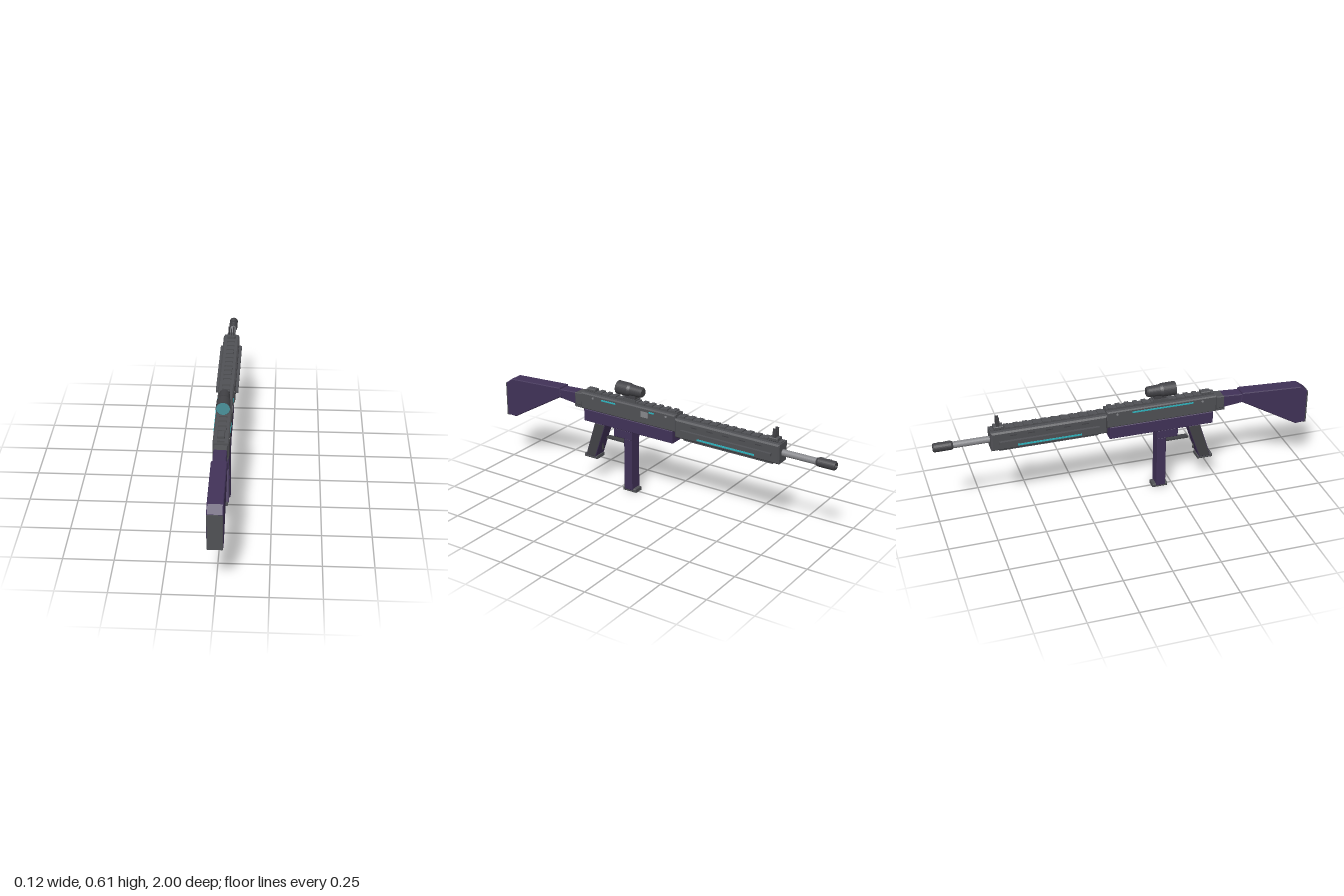
import * as THREE from 'three';

const mat = (name, color, extra = {}) => {
  const m = new THREE.MeshStandardMaterial({ color, ...extra });
  m.name = name;
  return m;
};

export function createModel() {
  const root = new THREE.Group();
  root.name = 'rifle';
  const gray = mat('gunmetal', 0x505155);
  const dark = mat('dark metal', 0x424246);
  const purple = mat('purple', 0x413258);
  const steel = mat('steel', 0x87888c);
  const cyan = mat('cyan', 0x2fb6c0);
  const lensMat = mat('lens teal', 0x4a929c);

  const add = (name, geo, material, x = 0, y = 0, z = 0) => {
    const mesh = new THREE.Mesh(geo, material);
    mesh.name = name;
    mesh.position.set(x, y, z);
    root.add(mesh);
    return mesh;
  };
  // Box given by its ranges in y and z, centred on x
  const box = (name, m, w, y0, y1, z0, z1, x = 0) =>
    add(name, new THREE.BoxGeometry(w, y1 - y0, z1 - z0), m, x, (y0 + y1) / 2, (z0 + z1) / 2);
  // Side profile of [z, y] points, extruded across x with a chamfer b
  const profile = (name, m, w, pts, b = 0.004) => {
    const shape = new THREE.Shape(pts.map(([z, y]) => new THREE.Vector2(z, y)));
    const geo = new THREE.ExtrudeGeometry(shape, {
      depth: w - 2 * b, bevelEnabled: b > 0, bevelThickness: b, bevelSize: b,
      bevelOffset: -b, bevelSegments: 1,
    });
    geo.translate(0, 0, -(w - 2 * b) / 2).rotateY(-Math.PI / 2);
    return add(name, geo, m);
  };
  const block = (name, m, w, y0, y1, z0, z1, b = 0.004) =>
    profile(name, m, w, [[z0, y0], [z1, y0], [z1, y1], [z0, y1]], b);
  // Round part along z from [radius, z] points, first point at the muzzle end
  const turned = (name, m, y, pts, sides = 24) => {
    const flat = pts.map(([r, z]) => new THREE.Vector2(r, z));
    const geo = new THREE.LatheGeometry(flat, sides).toNonIndexed();
    geo.rotateX(Math.PI / 2);
    geo.computeVertexNormals();
    return add(name, geo, m, 0, y, 0);
  };

  // Stock, butt plate and neck
  profile('stock', purple, 0.077, [
    [0.995, 0.265], [0.995, 0.452], [0.955, 0.482], [0.623, 0.499], [0.615, 0.45], [0.94, 0.262],
  ]);
  block('buttPlate', gray, 0.075, 0.262, 0.45, 0.985, 1, 0.002);
  profile('stockNeck', purple, 0.066, [
    [0.63, 0.442], [0.63, 0.49], [0.52, 0.497], [0.52, 0.43],
  ]);
  profile('neckCollar', gray, 0.068, [
    [0.525, 0.429], [0.525, 0.496], [0.47, 0.499], [0.47, 0.427],
  ]);
  box('neckLug', gray, 0.05, 0.412, 0.432, 0.47, 0.53);

  // Upper and lower receiver
  block('upperReceiver', gray, 0.08, 0.417, 0.508, -0.115, 0.48, 0.006);
  block('lowerReceiver', purple, 0.078, 0.35, 0.418, -0.1, 0.462, 0.003);
  block('magazineWell', purple, 0.074, 0.303, 0.352, 0.155, 0.27, 0.003);

  // Handguard with side bars, bottom rail and slots
  block('handguard', gray, 0.088, 0.39, 0.492, -0.715, -0.113, 0.008);
  box('bottomRail', gray, 0.044, 0.376, 0.392, -0.672, -0.155);
  for (const s of [-1, 1]) {
    box('sideBar', gray, 0.018, 0.43, 0.444, -0.675, -0.158, s * 0.05);
    box('handguardStripe', cyan, 0.006, 0.405, 0.414, -0.58, -0.25, s * 0.0435);
    for (let i = 0; i < 5; i++) {
      const z = -0.23 - i * 0.093;
      box('handguardSlot', dark, 0.003, 0.466, 0.471, z - 0.018, z + 0.018, s * 0.0442);
    }
  }

  // Top rail with evenly spaced teeth
  box('receiverRail', gray, 0.034, 0.505, 0.517, -0.113, 0.47);
  box('handguardRail', gray, 0.034, 0.488, 0.498, -0.71, -0.113);
  for (let i = 0; i < 11; i++) {
    const z = 0.37 - i * 0.046;
    box('receiverRailTooth', gray, 0.042, 0.512, 0.523, z - 0.012, z + 0.012);
    const f = -0.145 - i * 0.048;
    box('handguardRailTooth', gray, 0.042, 0.494, 0.504, f - 0.012, f + 0.012);
  }

  // Receiver side details
  box('leftStripeRear', cyan, 0.004, 0.486, 0.494, 0.255, 0.345, 0.0405);
  box('leftStripeFront', cyan, 0.004, 0.486, 0.494, 0.013, 0.045, 0.0405);
  box('rightStripe', cyan, 0.004, 0.486, 0.494, 0.02, 0.35, -0.0405);
  box('ejectionPort', steel, 0.005, 0.456, 0.487, 0.05, 0.095, 0.04);
  for (const z of [0.4, -0.06]) {
    const pin = new THREE.CylinderGeometry(0.006, 0.006, 0.084, 12).rotateZ(Math.PI / 2);
    add('receiverPin', pin, steel, 0, 0.49, z);
  }

  // Pistol grip: dark side faces, purple front and back
  profile('grip', [dark, purple], 0.077, [
    [0.393, 0.153], [0.455, 0.153], [0.392, 0.352], [0.325, 0.352],
  ], 0.003);
  block('gripBase', gray, 0.07, 0.139, 0.157, 0.385, 0.467, 0.003);

  // Trigger and guard
  box('triggerGuard', dark, 0.03, 0.268, 0.277, 0.195, 0.335);
  box('trigger', dark, 0.01, 0.19, 0.262, 0.368, 0.373);

  // Magazine
  block('magazine', purple, 0.072, 0.014, 0.306, 0.157, 0.206, 0.003);
  block('magazineBase', gray, 0.054, 0, 0.02, 0.138, 0.22, 0.003);

  // Barrel and muzzle brake
  turned('barrel', steel, 0.44, [[0.017, -0.91], [0.017, -0.7]]);
  turned('muzzleBrake', dark, 0.44, [
    [0, -0.975], [0.01, -0.975], [0.01, -1], [0.019, -1], [0.023, -0.994],
    [0.023, -0.91], [0.019, -0.9], [0, -0.9],
  ]);
  for (const z of [-0.925, -0.965]) {
    box('brakePort', gray, 0.012, 0.46, 0.465, z - 0.01, z + 0.01);
  }

  // Front sight with two ears and a post, and low rear sight
  block('frontSightBase', gray, 0.044, 0.495, 0.514, -0.695, -0.645, 0.003);
  for (const s of [-1, 0, 1]) {
    box(s ? 'frontSightEar' : 'frontSightPost', dark, s ? 0.007 : 0.005,
      0.51, s ? 0.56 : 0.548, -0.68, -0.663, s * 0.013);
  }
  block('rearSightBase', gray, 0.036, 0.512, 0.53, 0.4, 0.452, 0.004);

  // Scope on its mount
  box('scopeClamp', gray, 0.046, 0.512, 0.53, 0.14, 0.215);
  box('scopeMount', dark, 0.036, 0.528, 0.555, 0.145, 0.21);
  turned('scopeBody', dark, 0.572, [
    [0, 0.105], [0.021, 0.105], [0.027, 0.112], [0.03, 0.175], [0.035, 0.19],
    [0.036, 0.26], [0.033, 0.26], [0.033, 0.252], [0, 0.252],
  ], 32);
  add('scopeLens', new THREE.CircleGeometry(0.034, 32), lensMat, 0, 0.572, 0.2605);

  return root;
}
